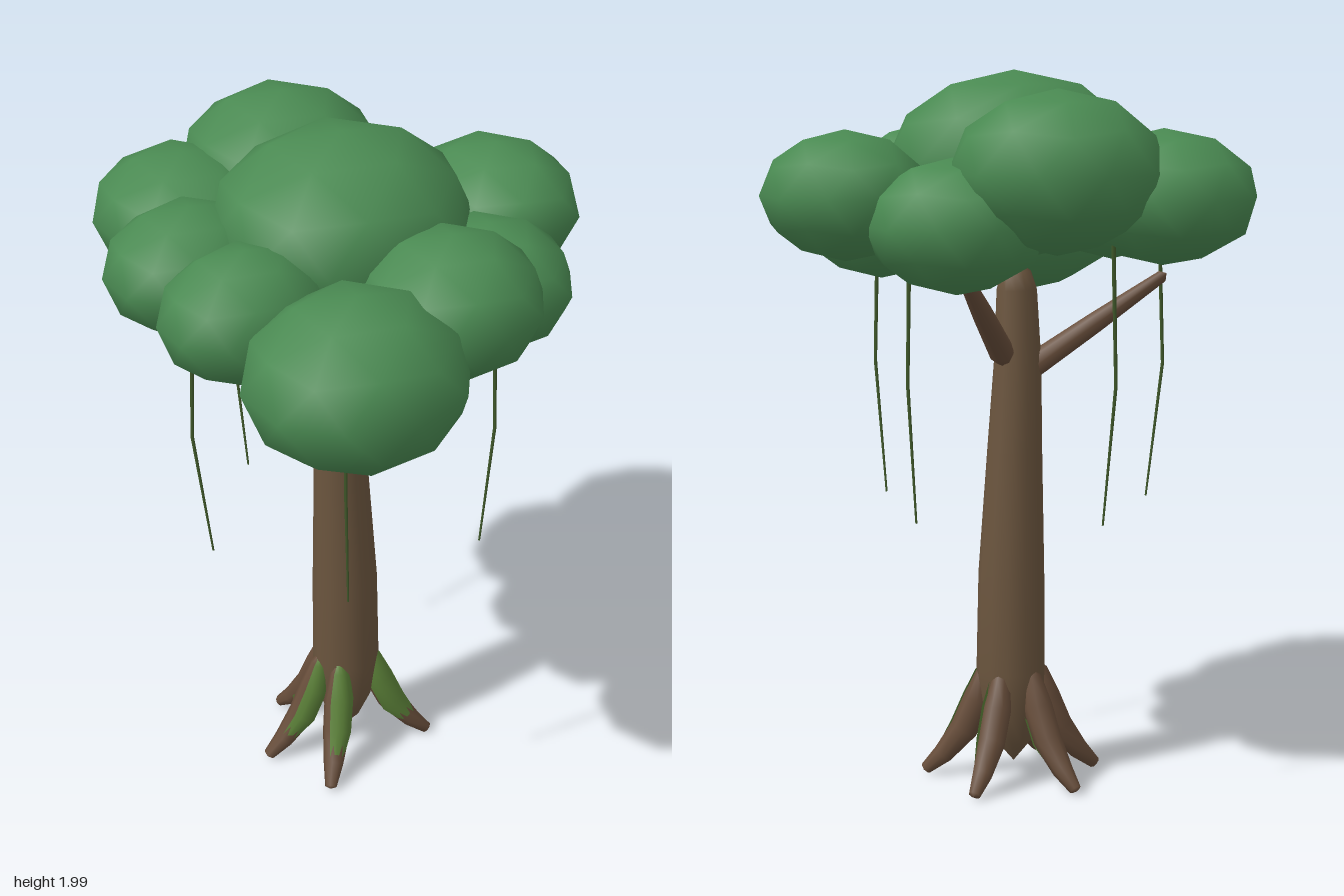
import * as THREE from 'three';

const mat = (name, color, side = THREE.FrontSide) => {
  const m = new THREE.MeshStandardMaterial({ color, side });
  m.name = name;
  return m;
};

// Tapered limb: points are [x, y, z, radius]; arc limits it to an open strip.
function limb(points, sides = 8, arc = null) {
  const P = points.map(p => new THREE.Vector3(p[0], p[1], p[2]));
  const whole = P[P.length - 1].clone().sub(P[0]).normalize();
  const ref = Math.abs(whole.y) > 0.9 ? new THREE.Vector3(0, 0, 1) : new THREE.Vector3(0, 1, 0);
  const cols = arc ? sides + 1 : sides;
  const pos = [], index = [];
  P.forEach((p, i) => {
    const t = P[Math.min(i + 1, P.length - 1)].clone().sub(P[Math.max(i - 1, 0)]).normalize();
    const u = ref.clone().cross(t).normalize();
    const v = t.clone().cross(u);
    for (let j = 0; j < cols; j++) {
      const a = arc ? arc[0] + (arc[1] - arc[0]) * j / sides : j / sides * Math.PI * 2;
      const q = p.clone().addScaledVector(u, Math.cos(a) * points[i][3])
        .addScaledVector(v, Math.sin(a) * points[i][3]);
      pos.push(q.x, q.y, q.z);
    }
  });
  for (let i = 0; i < P.length - 1; i++) {
    for (let j = 0; j < sides; j++) {
      const k = (j + 1) % cols;
      const a = i * cols + j, b = i * cols + k, c = a + cols, d = b + cols;
      index.push(a, b, c, b, d, c);
    }
  }
  const g = new THREE.BufferGeometry();
  g.setAttribute('position', new THREE.Float32BufferAttribute(pos, 3));
  g.setIndex(index);
  g.computeVertexNormals();
  return g;
}

export function createModel() {
  const tree = new THREE.Group();
  tree.name = 'tree';
  const bark = mat('trunk bark', 0x6b553e);
  const wood = mat('root and branch bark', 0x674d3a);
  const leaf = mat('leaf green', 0x4a8a52);
  const mossy = mat('moss green', 0x5b8038, THREE.DoubleSide);
  const vineMat = mat('vine green', 0x40592a);

  const add = (name, geometry, material, parent = tree) => {
    const m = new THREE.Mesh(geometry, material);
    m.name = name;
    parent.add(m);
    return m;
  };
  const group = name => {
    const g = new THREE.Group();
    g.name = name;
    tree.add(g);
    return g;
  };

  // Trunk, pointed below and rounded at the crown
  add('trunk', limb([
    [-0.055, 0.05, -0.035, 0], [-0.055, 0.11, -0.035, 0.05], [-0.05, 0.2, -0.035, 0.085],
    [-0.045, 0.32, -0.035, 0.097], [-0.048, 0.6, -0.033, 0.093], [-0.056, 0.95, -0.037, 0.077],
    [-0.063, 1.2, -0.04, 0.066], [-0.06, 1.4, -0.04, 0.056], [-0.058, 1.45, -0.038, 0.042],
    [-0.057, 1.485, -0.037, 0],
  ], 12), bark);

  // Roots with moss along their upper sides; tips relative to the trunk axis
  const roots = group('roots');
  [[-0.245, -0.035], [-0.17, 0.19], [-0.08, -0.235], [0.22, 0.12], [0.195, -0.16]].forEach(([x, z]) => {
    const path = [[0.28, 0.34, 0.008], [0.31, 0.31, 0.026], [0.4, 0.23, 0.041], [0.56, 0.14, 0.04],
      [0.8, 0.065, 0.029], [1, 0.02, 0.017], [1.02, 0.016, 0]]
      .map(([f, y, r]) => [-0.053 + x * f, y, -0.035 + z * f, r]);
    add('root', limb(path, 8), wood, roots);
    const moss = path.slice(0, 5).map(([a, b, c, r], i) => [a, b, c, i === 4 ? r - 0.004 : r + 0.004]);
    add('moss', limb(moss, 5, [Math.PI * 0.14, Math.PI * 0.86]), mossy, roots);
  });

  // Branches
  const branches = group('branches');
  [
    [[-0.055, 1.19, 0.0], [-0.27, 1.47, 0.36]],
    [[-0.01, 1.22, -0.06], [0.23, 1.49, -0.3]],
    [[-0.08, 1.17, -0.045], [-0.46, 1.44, -0.17]],
  ].forEach(([a, b]) => {
    const path = [[-0.07, 0], [-0.03, 0.026], [0.05, 0.036], [0.5, 0.029], [0.97, 0.017], [1, 0]]
      .map(([f, r]) => [...a.map((s, i) => s + (b[i] - s) * f), r]);
    add('branch', limb(path, 8), wood, branches);
  });

  // Foliage clumps: centre, then radii
  const canopy = group('canopy');
  const clump = new THREE.IcosahedronGeometry(1, 1);
  clump.rotateZ(-Math.atan(2 / (1 + Math.sqrt(5))));
  [
    [-0.055, 1.74, -0.03, 0.36, 0.26, 0.335],
    [0.01, 1.74, -0.425, 0.285, 0.215, 0.285],
    [-0.3, 1.67, -0.43, 0.25, 0.18, 0.27],
    [-0.425, 1.65, -0.18, 0.24, 0.175, 0.215],
    [-0.43, 1.64, 0.1, 0.235, 0.18, 0.2],
    [-0.31, 1.575, 0.43, 0.3, 0.23, 0.28],
    [0.02, 1.66, 0.365, 0.245, 0.19, 0.245],
    [0.23, 1.595, 0.235, 0.23, 0.175, 0.235],
    [0.44, 1.67, -0.025, 0.225, 0.175, 0.26],
    [0.235, 1.6, -0.29, 0.24, 0.18, 0.25],
  ].forEach(([x, y, z, rx, ry, rz]) => {
    const m = add('foliage clump', clump, leaf, canopy);
    m.position.set(x, y, z);
    m.scale.set(rx, ry, rz);
  });

  // Hanging vines, given by their lower tips
  const vines = group('vines');
  [[-0.26, 0.31], [-0.44, -0.1], [0.205, 0.27], [0.31, -0.19], [-0.13, -0.425]].forEach(([x, z]) => {
    const path = [[1.07, 1.56, 0.006], [1.1, 1.18, 0.005], [1, 0.8, 0.003]]
      .map(([f, y, r]) => [x * f, y, z * f, r]);
    add('vine', limb(path, 5), vineMat, vines);
  });

  return tree;
}
